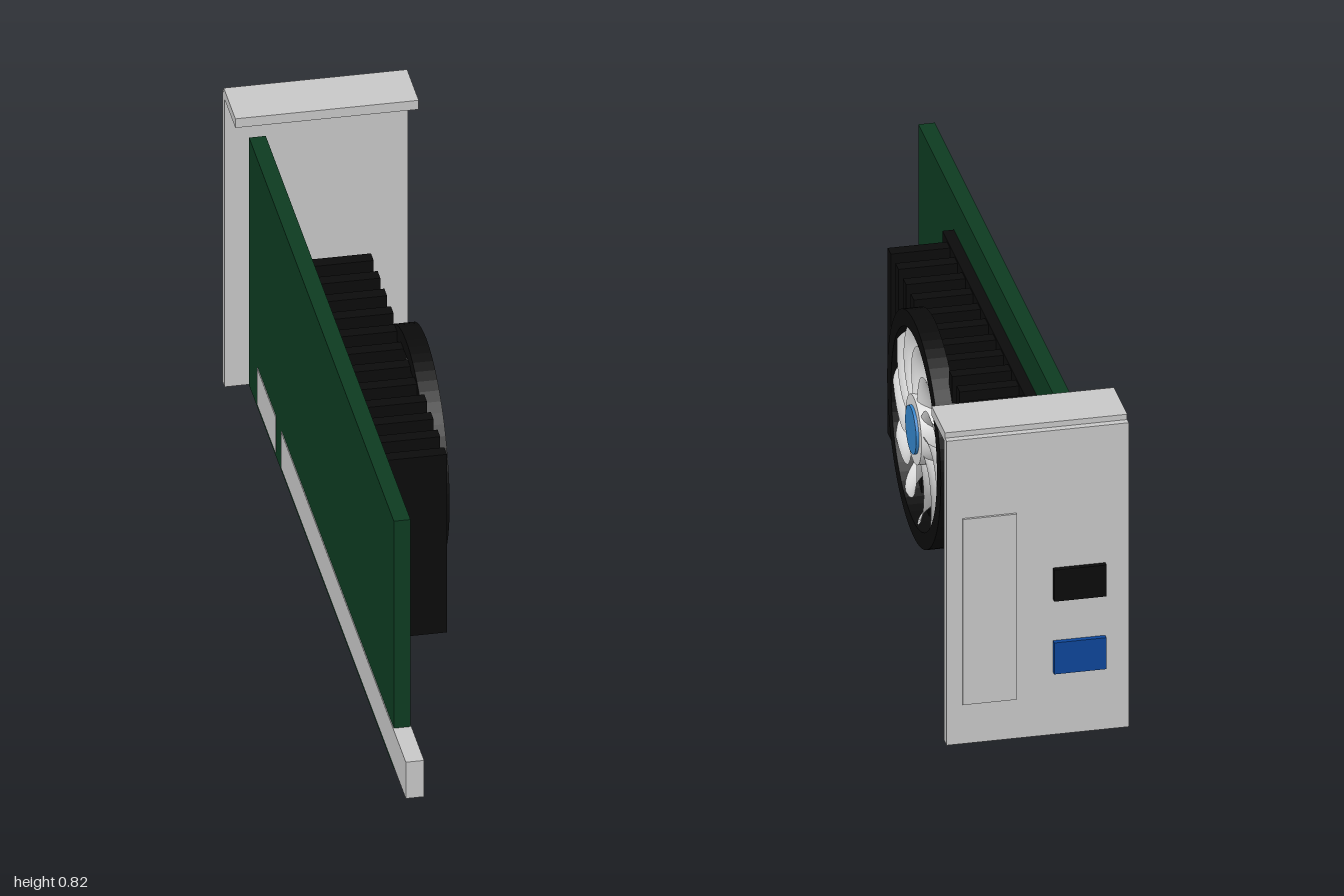
import * as THREE from 'three';

const mat = (name, color) => {
  const m = new THREE.MeshStandardMaterial({ color });
  m.name = name;
  return m;
};

export function createModel() {
  const green = mat('board green', 0x0d3b21);
  const black = mat('heatsink black', 0x0b0b0b);
  const metal = mat('plain metal', 0xc8c8c8);
  const white = mat('fan white', 0xdedede);
  white.side = THREE.DoubleSide;
  const sky = mat('hub blue', 0x3585cb);
  const blue = mat('port blue', 0x0d4699);

  const root = new THREE.Group();
  root.name = 'expansionCard';

  // Box given by its extents on each axis
  const box = (name, m, [x0, x1], [y0, y1], [z0, z1], parent = root) => {
    const mesh = new THREE.Mesh(new THREE.BoxGeometry(x1 - x0, y1 - y0, z1 - z0), m);
    mesh.position.set((x0 + x1) / 2, (y0 + y1) / 2, (z0 + z1) / 2);
    mesh.name = name;
    parent.add(mesh);
  };

  // Circuit board and edge connector strips
  box('circuitBoard', green, [-0.166, -0.126], [0.013, 0.695], [-0.935, 0.843]);
  box('longConnector', metal, [-0.168, -0.124], [0.025, 0.125], [-0.533, 1]);
  box('shortConnector', metal, [-0.168, -0.124], [0.025, 0.125], [-0.828, -0.603]);

  // Memory chips, the inner column partly under the heatsink
  for (const z of [0.533, 0.335])
    for (const y of [0.145, 0.315])
      box('memoryChip', black, [-0.127, -0.112], [y, y + 0.124], [z, z + 0.14]);

  // Heatsink
  const sink = new THREE.Group();
  sink.name = 'heatsink';
  root.add(sink);
  box('heatsinkBase', black, [-0.126, -0.098], [0.1, 0.605], [-0.555, 0.463], sink);
  for (let i = 0; i < 12; i++) {
    const z = 0.398 - i * 0.0817;
    box('heatsinkFin', black, [-0.098, 0.045], [0.11, 0.6], [z - 0.0165, z + 0.0165], sink);
  }

  // Mounting bracket with its ports
  const bracket = new THREE.Group();
  bracket.name = 'bracket';
  root.add(bracket);
  box('bracketPlate', metal, [-0.22, 0.22], [0, 0.803], [-0.987, -0.96], bracket);
  box('bracketFlange', metal, [-0.22, 0.22], [0.792, 0.817], [-0.97, -0.827], bracket);
  box('slotCover', metal, [0.052, 0.182], [0.105, 0.595], [-0.993, -0.986], bracket);
  box('blackPort', black, [-0.163, -0.037], [0.357, 0.44], [-1, -0.986], bracket);
  box('bluePort', blue, [-0.163, -0.037], [0.165, 0.248], [-1, -0.986], bracket);

  // Fan, built facing +z and turned to face +x
  const fan = new THREE.Group();
  fan.name = 'fan';
  fan.position.set(0.037, 0.354, -0.047);
  fan.rotation.y = Math.PI / 2;
  root.add(fan);
  const part = (name, geo, m, z = 0) => {
    const mesh = new THREE.Mesh(geo, m);
    mesh.name = name;
    mesh.position.z = z;
    fan.add(mesh);
    return mesh;
  };

  const ring = new THREE.Shape().absarc(0, 0, 0.286, 0, Math.PI * 2, false);
  ring.holes.push(new THREE.Path().absarc(0, 0, 0.245, 0, Math.PI * 2, true));
  part('fanRing', new THREE.ExtrudeGeometry(ring, { depth: 0.049, bevelEnabled: false, curveSegments: 32 }), black);

  const disc = (r, d) => new THREE.CylinderGeometry(r, r, d, 40).rotateX(Math.PI / 2);
  part('fanHub', disc(0.085, 0.052), white, 0.024);
  part('hubCap', disc(0.059, 0.008), sky, 0.053);

  // Swept, pitched and cambered blade
  const blade = new THREE.PlaneGeometry(1, 1, 10, 6);
  const p = blade.attributes.position;
  for (let i = 0; i < p.count; i++) {
    const u = p.getX(i) + 0.5, v = p.getY(i);
    const r = 0.075 + 0.168 * u;
    const chord = 0.46 - 0.1 * u * u;
    const a = v * chord + 0.25 * u - 0.75 * u * u;
    p.setXYZ(i, r * Math.cos(a), r * Math.sin(a), 0.022 + v * 0.046 + 0.01 * (0.25 - v * v) * 4);
  }
  blade.computeVertexNormals();
  const count = 11;
  for (let i = 0; i < count; i++)
    part('fanBlade', blade, white).rotation.z = (i / count) * Math.PI * 2;

  return root;
}
